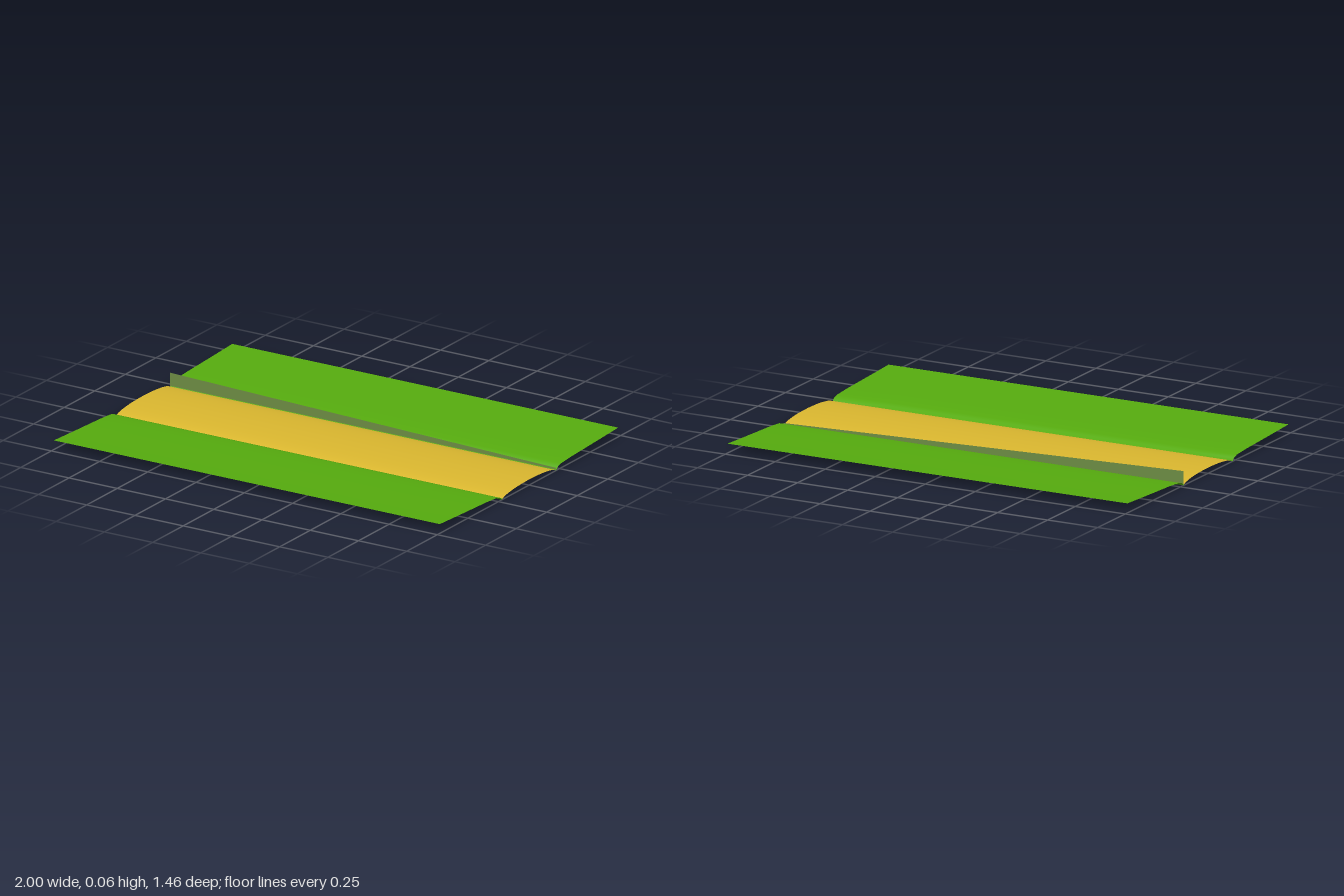
import * as THREE from 'three';

const material = (name, color) => {
  const m = new THREE.MeshStandardMaterial({ color, side: THREE.DoubleSide });
  m.name = name;
  return m;
};

// Sheet running along x, swept from a [z, y] profile ordered by increasing z
function sheet(name, profile, mat) {
  const geo = new THREE.PlaneGeometry(2, 1, 8, profile.length - 1);
  geo.rotateX(-Math.PI / 2);
  const pos = geo.attributes.position;
  for (let i = 0; i < pos.count; i++) {
    const [z, y] = profile[Math.floor(i / 9)];
    pos.setY(i, y);
    pos.setZ(i, z);
  }
  geo.computeVertexNormals();
  const mesh = new THREE.Mesh(geo, mat);
  mesh.name = name;
  return mesh;
}

export function createModel() {
  const group = new THREE.Group();
  group.name = 'roadSection';
  const grass = material('grass green', 0x55aa0e);
  const dirt = material('sandy yellow', 0xd8b52e);
  const fence = material('grey green', 0x6b8a42);

  // Cambered road surface
  const half = [[0.215, 0.004], [0.2, 0.01], [0.175, 0.015], [0.145, 0.019], [0.1, 0.023], [0.05, 0.025]];
  const mirror = (pts) => pts.map(([z, y]) => [-z, y]);
  group.add(sheet('road', [...mirror(half), [0, 0.026], ...half.slice().reverse()], dirt));

  // Grass verges rising away from the ditch on each side
  const bank = [[0.215, 0.004], [0.222, 0], [0.235, 0.013], [0.262, 0.021], [0.35, 0.027],
    [0.5, 0.033], [0.62, 0.038], [0.73, 0.043]];
  group.add(sheet('frontVerge', bank, grass));
  group.add(sheet('backVerge', mirror(bank).reverse(), grass));

  // Low tapering wall along the back edge of the road
  const wallShape = new THREE.Shape([[-1, 0.004], [1, 0.004], [1, 0.012], [-1, 0.065]]
    .map(([x, y]) => new THREE.Vector2(x, y)));
  const wall = new THREE.Mesh(new THREE.ShapeGeometry(wallShape), fence);
  wall.name = 'taperedWall';
  wall.position.z = -0.222;
  group.add(wall);

  return group;
}
